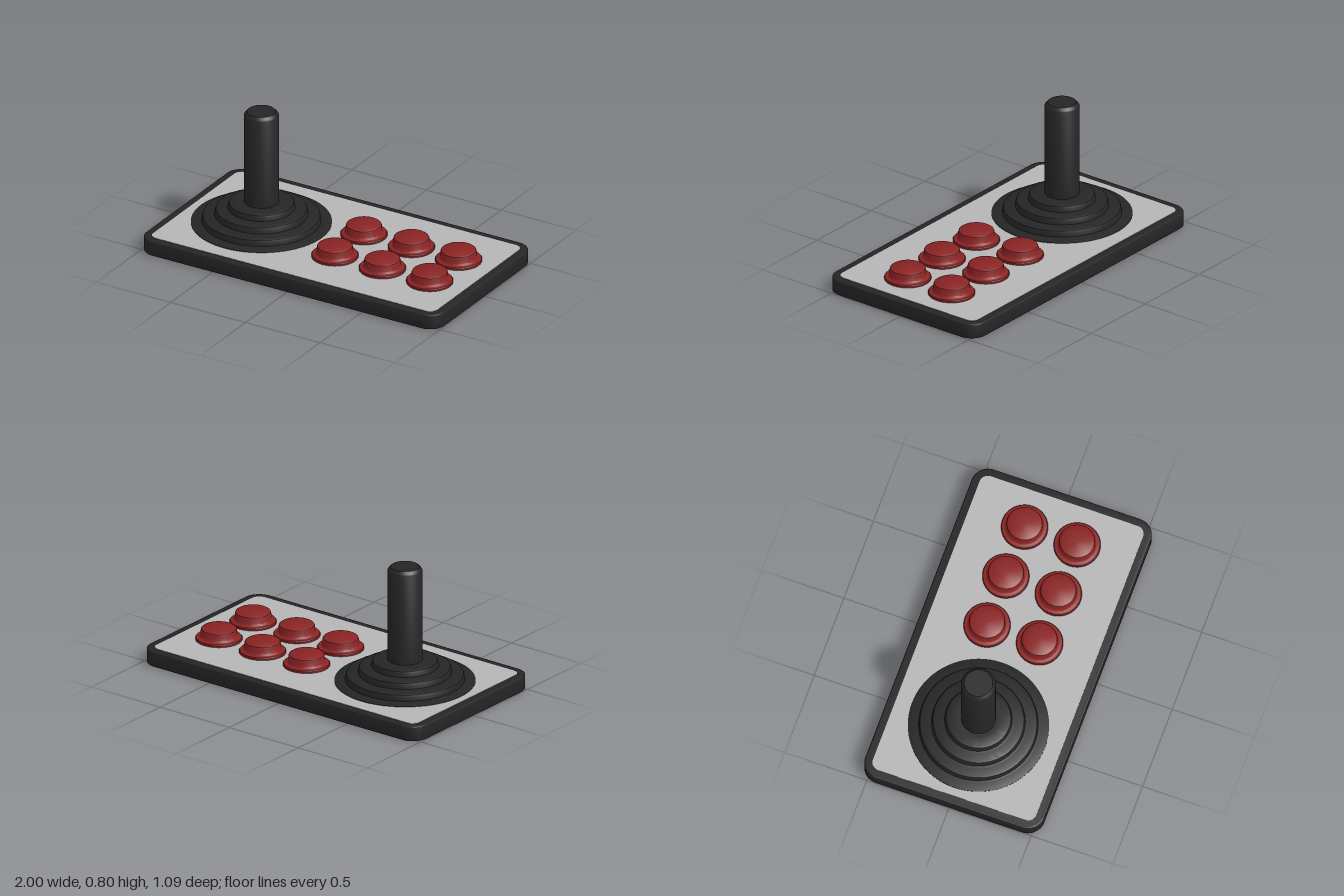
import * as THREE from 'three';
import { toCreasedNormals } from 'three/addons/utils/BufferGeometryUtils.js';

const material = (name, color) => {
  const m = new THREE.MeshStandardMaterial({ color });
  m.name = name;
  return m;
};

// Rounded rectangle centred on the origin, given half sizes
function roundedRect(w, d, r) {
  const s = new THREE.Shape();
  s.absarc(w - r, d - r, r, 0, Math.PI / 2);
  s.absarc(-w + r, d - r, r, Math.PI / 2, Math.PI);
  s.absarc(-w + r, -d + r, r, Math.PI, Math.PI * 1.5);
  s.absarc(w - r, -d + r, r, Math.PI * 1.5, Math.PI * 2);
  s.closePath();
  return s;
}

// Turned part from [radius, height] pairs, listed bottom to top
function turned(points, segments = 64) {
  const profile = points.map(([r, y]) => new THREE.Vector2(r, y));
  return toCreasedNormals(new THREE.LatheGeometry(profile, segments), 0.6);
}

export function createModel() {
  const model = new THREE.Group();
  model.name = 'arcadeController';
  const black = material('black plastic', 0x252525);
  const grey = material('grey panel', 0xb5b5b5);
  const red = material('red button', 0x8a2323);

  const add = (name, geometry, mat, x = 0, y = 0, z = 0) => {
    const mesh = new THREE.Mesh(geometry, mat);
    mesh.name = name;
    mesh.position.set(x, y, z);
    model.add(mesh);
  };

  // Flat case with softened edges
  const caseGeometry = new THREE.ExtrudeGeometry(roundedRect(0.992, 0.537, 0.092), {
    depth: 0.076, bevelSize: 0.008, bevelThickness: 0.008, bevelSegments: 3, curveSegments: 10,
  });
  caseGeometry.rotateX(-Math.PI / 2);
  add('case', toCreasedNormals(caseGeometry, 0.6), black, 0, 0.008);

  // Thin face plate
  const plate = new THREE.ExtrudeGeometry(roundedRect(0.953, 0.498, 0.05), {
    depth: 0.004, bevelEnabled: false, curveSegments: 8,
  });
  plate.rotateX(-Math.PI / 2);
  add('facePlate', plate, grey, 0, 0.09);

  // Stepped rubber boot: each tier has a rounded shoulder
  const boot = [[0.405, 0.09], [0.405, 0.097], [0.4, 0.1], [0.355, 0.1], [0.343, 0.104]];
  for (const [r, top, next] of [[0.34, 0.143, 0.265], [0.265, 0.186, 0.19], [0.19, 0.227, 0.1]]) {
    boot.push([r, top - 0.014], [r - 0.004, top - 0.005], [r - 0.014, top]);
    boot.push([next + 0.018, top], [next + 0.004, top + (next > 0.1 ? 0.004 : 0)]);
  }
  boot.push([0.09, 0.227]);
  add('boot', turned(boot, 72), black, -0.5);

  // Straight stick with a chamfered top
  add('stick', turned([
    [0.1, 0.2], [0.1, 0.778], [0.095, 0.786], [0.082, 0.8], [0, 0.8],
  ], 48), black, -0.5);

  // Two rows of three buttons: flange, flared foot and rounded cap
  const button = turned([
    [0.135, 0], [0.135, 0.012], [0.131, 0.017], [0.116, 0.018], [0.109, 0.022], [0.105, 0.03],
    [0.104, 0.06], [0.101, 0.068], [0.092, 0.074], [0, 0.074],
  ], 48);
  for (const x of [0.09, 0.408, 0.725]) {
    for (const z of [-0.16, 0.16]) add('button', button, red, x, 0.092, z);
  }

  return model;
}
